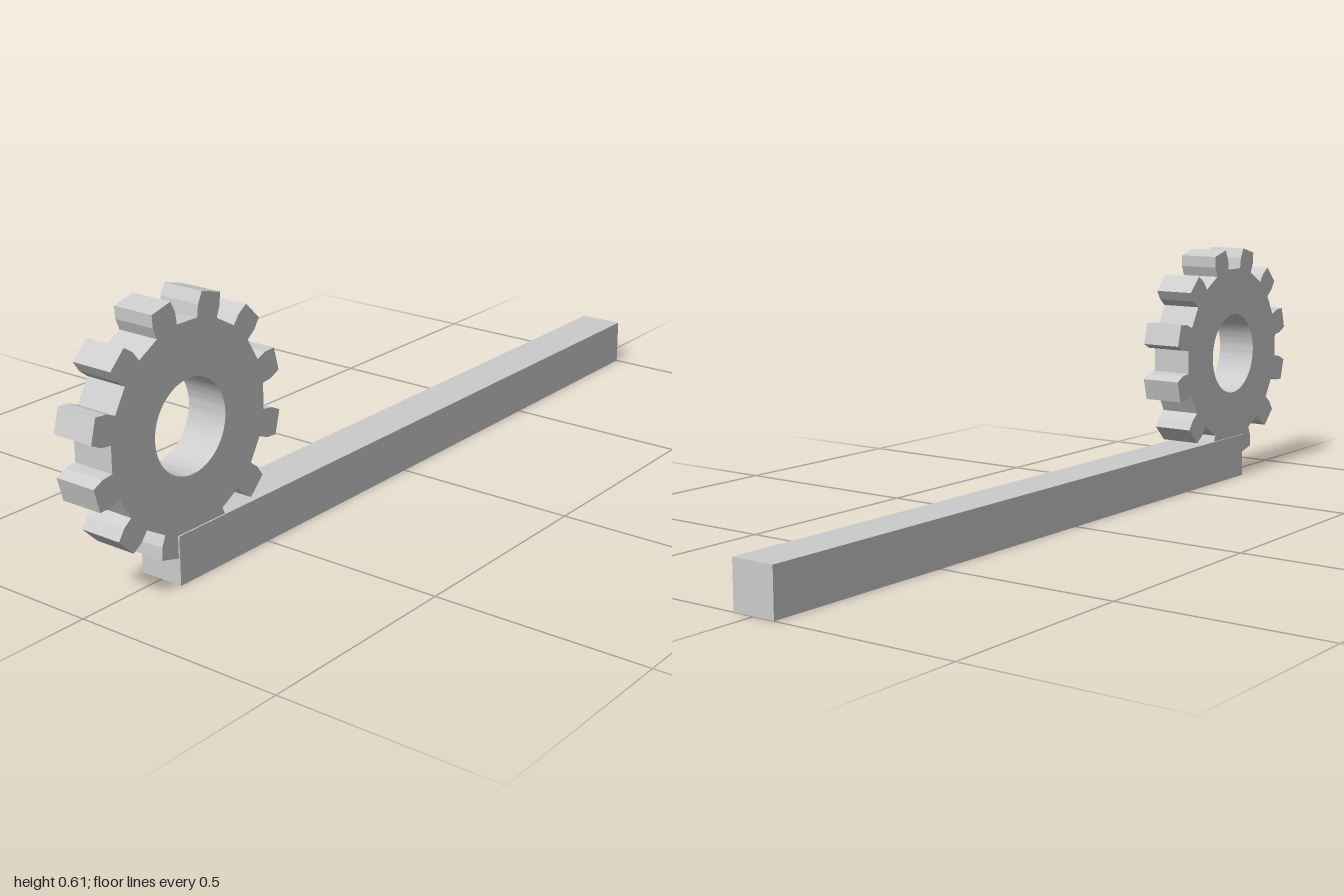
import * as THREE from 'three';
import { toCreasedNormals } from 'three/addons/utils/BufferGeometryUtils.js';

const TEETH = 12;
const ROOT_R = 0.226, MID_R = 0.2525, TIP_R = 0.279, BORE_R = 0.104;
const GEAR_DEPTH = 0.102;

// Outline of the gear: each tooth has a two-step flank and a flat tip
function gearShape() {
  const rad = THREE.MathUtils.degToRad;
  const tooth = [
    [ROOT_R, -7.5], [MID_R, -7.5], [TIP_R, -5.65],
    [TIP_R, 5.65], [MID_R, 7.5], [ROOT_R, 7.5],
  ];
  const points = [];
  for (let i = 0; i < TEETH; i++) {
    for (const [r, offset] of tooth) {
      const a = rad(((i + 0.5) * 360) / TEETH + offset);
      points.push(new THREE.Vector2(r * Math.cos(a), r * Math.sin(a)));
    }
  }
  const shape = new THREE.Shape(points);
  shape.holes.push(new THREE.Path().absarc(0, 0, BORE_R, 0, Math.PI * 2, true));
  return shape;
}

export function createModel() {
  const model = new THREE.Group();
  model.name = 'gearAndBar';

  const grey = new THREE.MeshStandardMaterial({ color: 0xcccccc });
  grey.name = 'light grey';

  // Toothed wheel with a round bore
  const gearGeometry = new THREE.ExtrudeGeometry(gearShape(), {
    depth: GEAR_DEPTH, bevelEnabled: false, curveSegments: 48,
  });
  gearGeometry.translate(0, 0, -GEAR_DEPTH / 2);
  const gear = new THREE.Mesh(toCreasedNormals(gearGeometry, 0.3), grey);
  gear.name = 'gear';
  gear.position.set(-0.725, 0.335, 0);
  model.add(gear);

  // Straight bar under the gear
  const bar = new THREE.Mesh(new THREE.BoxGeometry(1.775, 0.111, 0.109), grey);
  bar.name = 'bar';
  bar.position.set(0.1125, 0.0555, 0);
  model.add(bar);

  return model;
}
